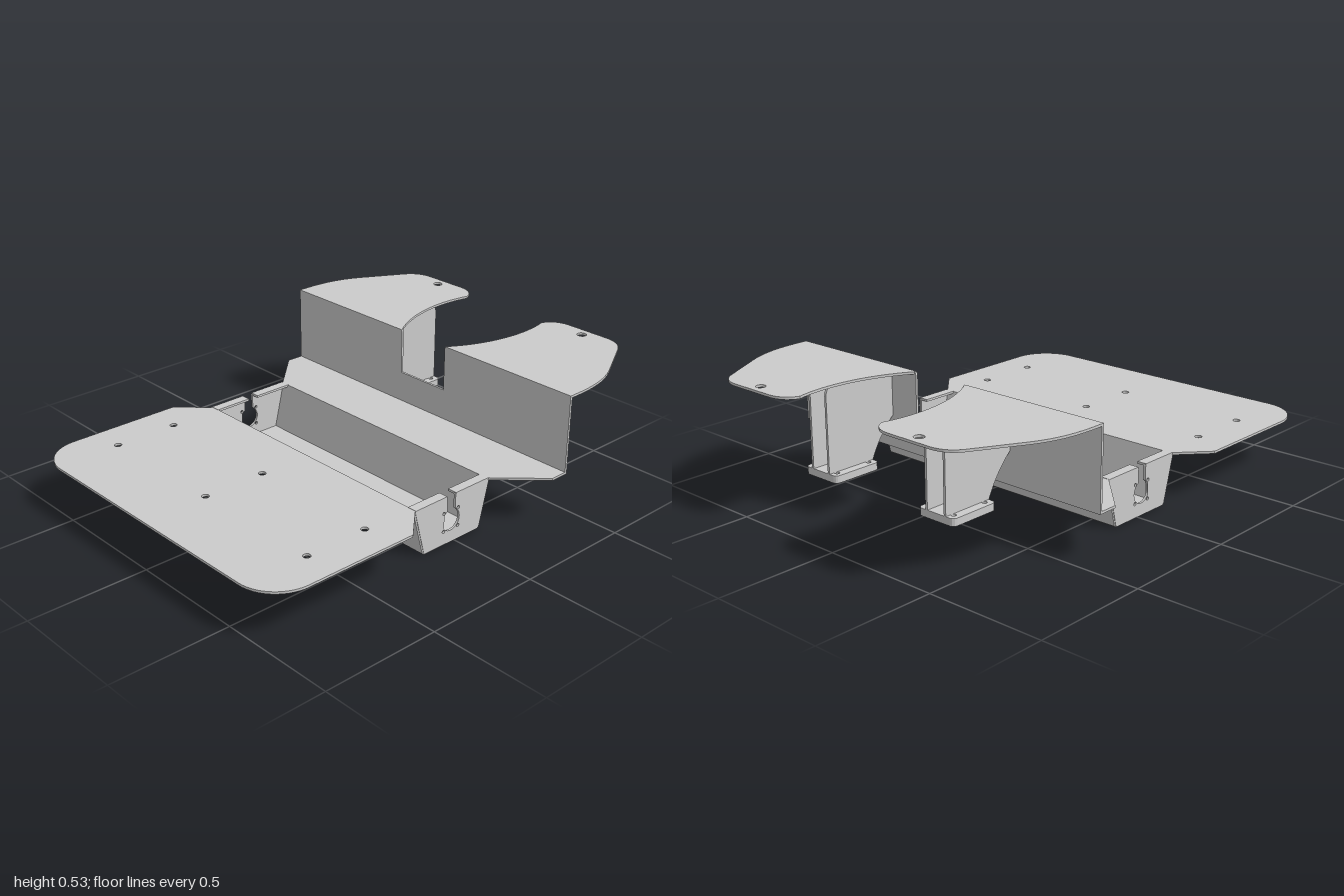
import * as THREE from 'three';
import { toCreasedNormals } from 'three/addons/utils/BufferGeometryUtils.js';

const T = 0.01; // sheet thickness

export function createModel() {
  const group = new THREE.Group();
  const mat = new THREE.MeshStandardMaterial({ color: 0xcccccc, side: THREE.DoubleSide });

  const poly = (pts) => new THREE.Shape(pts.map((p) => new THREE.Vector2(p[0], p[1])));
  const drill = (shape, x, y, r) => {
    const hole = new THREE.Path();
    hole.absarc(x, y, r, 0, Math.PI * 2, true);
    shape.holes.push(hole);
  };
  const extrude = (shape, depth) =>
    new THREE.ExtrudeGeometry(shape, { depth, bevelEnabled: false, curveSegments: 16 });
  const add = (name, geo) => {
    const mesh = new THREE.Mesh(toCreasedNormals(geo, 0.5), mat);
    mesh.name = name;
    group.add(mesh);
    return mesh;
  };
  // Horizontal sheet: shape drawn in (x, z), top face at the given height
  const sheet = (name, shape, top, t = T) =>
    add(name, extrude(shape, t).rotateX(Math.PI / 2).translate(0, top, 0));
  // Upright sheet: shape drawn in (x, y), centred on z
  const upright = (name, shape, z, t = T) =>
    add(name, extrude(shape, t).translate(0, 0, z - t / 2));
  const roundedRect = (x0, x1, y0, y1, r) => {
    const s = new THREE.Shape();
    s.absarc(x1 - r, y1 - r, r, 0, Math.PI / 2);
    s.absarc(x0 + r, y1 - r, r, Math.PI / 2, Math.PI);
    s.absarc(x0 + r, y0 + r, r, Math.PI, Math.PI * 1.5);
    s.absarc(x1 - r, y0 + r, r, Math.PI * 1.5, Math.PI * 2);
    s.closePath();
    return s;
  };

  // Wide side deck with rounded outer corners and six bolt holes
  const deck = new THREE.Shape();
  deck.moveTo(-0.215, -0.615);
  deck.lineTo(-0.34, -0.73);
  deck.lineTo(-0.83, -0.73);
  deck.absarc(-0.83, -0.56, 0.17, -Math.PI / 2, Math.PI, true);
  deck.absarc(-0.83, 0.56, 0.17, Math.PI, Math.PI / 2, true);
  deck.lineTo(-0.34, 0.73);
  deck.lineTo(-0.215, 0.615);
  for (const x of [-0.715, -0.44]) for (const z of [-0.583, 0, 0.583]) drill(deck, x, z, 0.015);
  sheet('sideDeck', deck, 0.207);

  // Folded trough between the decks
  const trough = poly([
    [-0.225, 0.207], [-0.211, 0.207], [-0.159, 0.012], [0.127, 0.012], [0.176, 0.207],
    [0.19, 0.207], [0.14, 0.008], [0.132, 0.002], [-0.164, 0.002], [-0.172, 0.008],
  ]);
  upright('trough', trough, 0, 1.23);

  // Flared ledge beside the trough
  sheet('ledge', poly([
    [0.18, -0.615], [0.36, -0.787], [0.445, -0.787], [0.445, 0.787], [0.36, 0.787], [0.18, 0.615],
  ]), 0.207);

  // Step wall with a central notch, drawn in (z, y)
  const wall = new THREE.Shape();
  wall.moveTo(-0.787, 0.2);
  wall.lineTo(0.787, 0.2);
  wall.lineTo(0.787, 0.533);
  wall.lineTo(0.135, 0.533);
  wall.quadraticCurveTo(0.125, 0.533, 0.125, 0.52);
  wall.lineTo(0.125, 0.338);
  wall.lineTo(-0.125, 0.338);
  wall.lineTo(-0.125, 0.52);
  wall.quadraticCurveTo(-0.125, 0.533, -0.135, 0.533);
  wall.lineTo(-0.787, 0.533);
  add('stepWall', extrude(wall, T).rotateY(Math.PI / 2).translate(0.435, 0, 0));

  for (const s of [-1, 1]) {
    // Curved upper wing
    const wing = new THREE.Shape();
    wing.moveTo(0.436, s * 0.127);
    wing.lineTo(0.436, s * 0.787);
    wing.lineTo(0.47, s * 0.787);
    wing.bezierCurveTo(0.6, s * 0.787, 0.68, s * 0.765, 0.76, s * 0.72);
    wing.lineTo(0.94, s * 0.62);
    wing.quadraticCurveTo(1, s * 0.585, 1, s * 0.51);
    wing.lineTo(1, s * 0.31);
    wing.quadraticCurveTo(0.995, s * 0.24, 0.935, s * 0.218);
    wing.bezierCurveTo(0.8, s * 0.255, 0.6, s * 0.24, 0.436, s * 0.127);
    drill(wing, 0.955, s * 0.42, 0.02);
    sheet('upperWing', wing, 0.533);

    // Pair of bracket webs with a concave lower edge
    const web = new THREE.Shape();
    web.moveTo(0.44, 0.527);
    web.lineTo(0.74, 0.527);
    web.quadraticCurveTo(0.78, 0.522, 0.78, 0.48);
    web.lineTo(0.78, 0.17);
    web.lineTo(0.56, 0.17);
    web.quadraticCurveTo(0.52, 0.265, 0.44, 0.335);
    for (const z of [0.265, 0.357]) upright('bracketWeb', web, s * z);

    // Mounting feet under the brackets and pads under the side deck
    const zc = s * 0.311;
    for (const [name, x0, x1, top] of [['bracketFoot', 0.56, 0.78, 0.175], ['deckPad', -0.81, -0.59, 0.2]]) {
      const pad = roundedRect(x0, x1, zc - 0.089, zc + 0.089, 0.02);
      for (const dx of [0.03, 0.19]) for (const dz of [-0.06, 0.06]) drill(pad, x0 + dx, zc + dz, 0.01);
      sheet(name, pad, top, 0.03);
    }

    // Gussets bracing the trough against both decks
    upright('ledgeGusset', poly([
      [0.18, 0.2], [0.39, 0.2], [0.39, 0.187], [0.168, 0.06], [0.147, 0.056],
    ]), s * 0.282);
    const rib = new THREE.Shape();
    rib.moveTo(-0.218, 0.2);
    rib.lineTo(-0.6, 0.2);
    rib.lineTo(-0.6, 0.186);
    rib.quadraticCurveTo(-0.4, 0.152, -0.225, 0.088);
    rib.lineTo(-0.19, 0.085);
    upright('deckRib', rib, s * 0.282);

    // Trough end plate with a keyhole slot, small holes and a folded top lip
    const cx = -0.022, cy = 0.1, r = 0.046, a = 0.5;
    const end = new THREE.Shape();
    end.moveTo(-0.164, 0.003);
    end.lineTo(0.132, 0.003);
    end.lineTo(0.182, 0.207);
    end.lineTo(0.01, 0.207);
    end.quadraticCurveTo(0, 0.207, 0, 0.197);
    end.absarc(cx, cy, r, Math.PI / 2 - a, Math.PI / 2 + a, true);
    end.lineTo(-0.044, 0.197);
    end.quadraticCurveTo(-0.044, 0.207, -0.054, 0.207);
    end.lineTo(-0.217, 0.207);
    for (const dx of [-0.039, 0.039]) for (const dy of [-0.039, 0.039]) drill(end, cx + dx, cy + dy, 0.007);
    upright('endPlate', end, s * 0.612);
    for (const [x0, x1] of [[-0.213, -0.046], [0.002, 0.178]]) {
      add('endPlateLip', new THREE.BoxGeometry(x1 - x0, T, 0.042)
        .translate((x0 + x1) / 2, 0.203, s * 0.596));
    }
  }
  return group;
}
